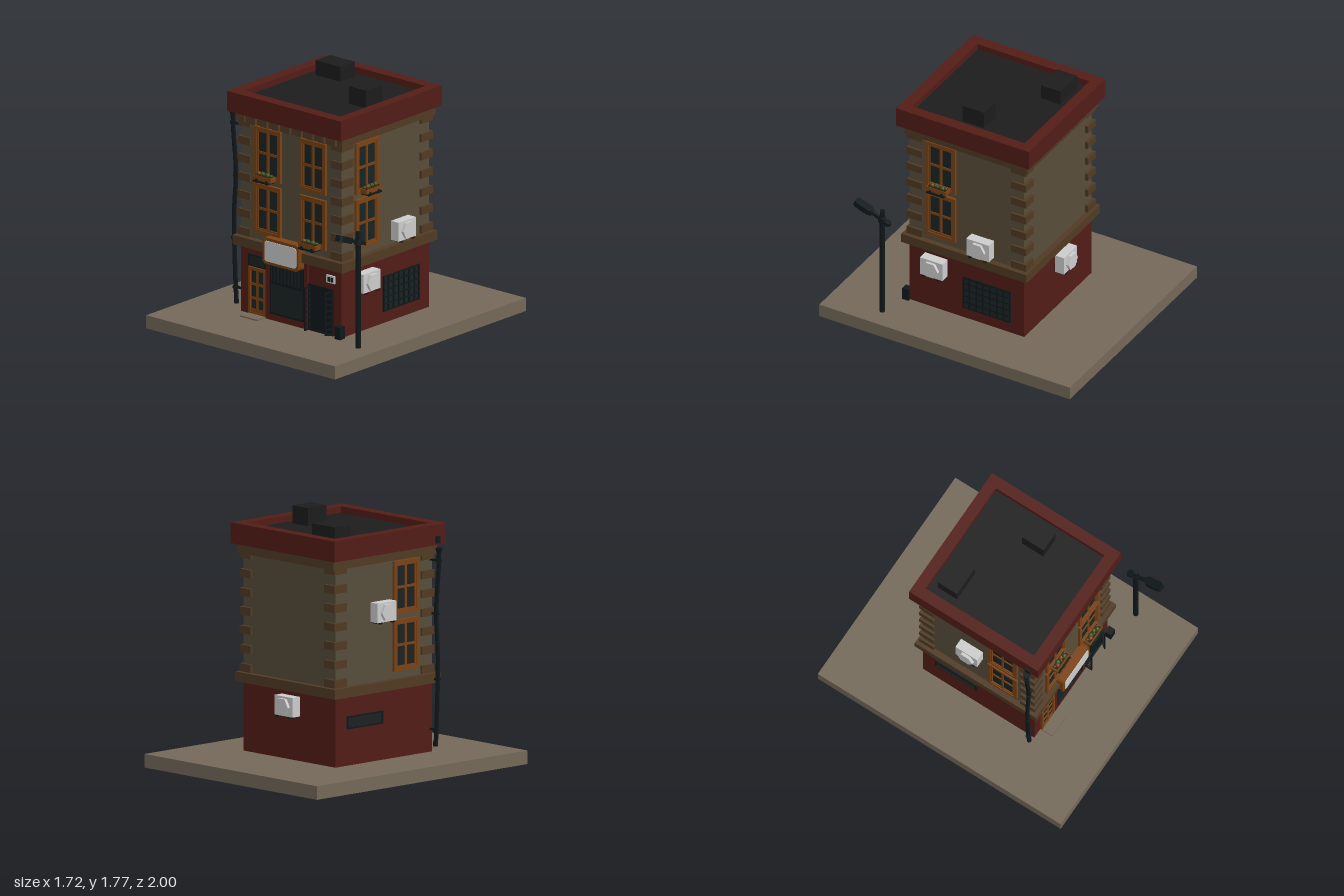
import * as THREE from 'three';

const mats = {};
function mat(color) {
  return mats[color] ??= new THREE.MeshStandardMaterial({ color, flatShading: true });
}
const C = { slab: 0x736858, brick: 0x521c16, wall: 0x564c39, trim: 0x4f3a24, wood: 0x7a4214,
  roof: 0x1c1c1c, black: 0x10181a, glass: 0x1a2222, metal: 0xcccccc, leaf: 0x3a4a18, soil: 0x2a1c10 };

function add(parent, name, geo, color, x = 0, y = 0, z = 0) {
  const m = new THREE.Mesh(geo, mat(color));
  m.name = name;
  m.position.set(x, y, z);
  parent.add(m);
  return m;
}
// Box given by its limits on each axis
function box(parent, name, color, x0, x1, y0, y1, z0, z1) {
  return add(parent, name, new THREE.BoxGeometry(x1 - x0, y1 - y0, z1 - z0), color,
    (x0 + x1) / 2, (y0 + y1) / 2, (z0 + z1) / 2);
}
function group(parent, name, x = 0, y = 0, z = 0, ry = 0) {
  const g = new THREE.Group();
  g.name = name;
  g.position.set(x, y, z);
  g.rotation.y = ry;
  parent.add(g);
  return g;
}
function roundedRect(w, h, r) {
  const s = new THREE.Shape(), a = w / 2 - r, b = h / 2 - r;
  s.absarc(a, b, r, 0, Math.PI / 2);
  s.absarc(-a, b, r, Math.PI / 2, Math.PI);
  s.absarc(-a, -b, r, Math.PI, Math.PI * 1.5);
  s.absarc(a, -b, r, Math.PI * 1.5, Math.PI * 2);
  s.closePath();
  return s;
}
// Rectangular frame with an open middle
function frame(parent, name, color, x0, x1, y0, y1, z0, z1, t) {
  box(parent, name, color, x0, x0 + t, y0, y1, z0, z1);
  box(parent, name, color, x1 - t, x1, y0, y1, z0, z1);
  box(parent, name, color, x0 + t, x1 - t, y0, y0 + t, z0, z1);
  box(parent, name, color, x0 + t, x1 - t, y1 - t, y1, z0, z1);
}
// Crossing bars over a pane
function bars(parent, name, color, x0, x1, y0, y1, z0, z1, cols, rows, t) {
  for (let i = 1; i < cols; i++) {
    const x = x0 + (x1 - x0) * i / cols;
    box(parent, name, color, x - t / 2, x + t / 2, y0, y1, z0, z1);
  }
  for (let i = 1; i < rows; i++) {
    const y = y0 + (y1 - y0) * i / rows;
    box(parent, name, color, x0, x1, y - t / 2, y + t / 2, z0, z1 - 0.001);
  }
}
// Wall fittings: local x runs along the wall, z points out of it
function sashWindow(wall, x, y0, y1) {
  const g = group(wall, 'window', x);
  const w = 0.12;
  box(g, 'windowGlass', C.glass, -w + 0.02, w - 0.02, y0 + 0.02, y1 - 0.02, -0.01, 0.004);
  frame(g, 'windowFrame', C.wood, -w, w, y0, y1, -0.01, 0.02, 0.024);
  frame(g, 'windowSash', C.wood, -w + 0.024, w - 0.024, y0 + 0.024, y1 - 0.024, -0.01, 0.013, 0.012);
  bars(g, 'glazingBar', C.wood, -w + 0.03, w - 0.03, y0 + 0.03, y1 - 0.03, 0, 0.012, 2, 2, 0.018);
}
function flowerBox(wall, x, y) {
  const g = group(wall, 'flowerBox', x, y);
  box(g, 'planter', C.wood, -0.08, 0.08, 0.005, 0.038, 0.022, 0.075);
  box(g, 'soil', C.soil, -0.07, 0.07, 0.036, 0.041, 0.028, 0.069);
  box(g, 'shelf', C.black, -0.07, 0.07, -0.006, 0.005, 0, 0.088);
  for (const s of [-0.045, 0.045]) box(g, 'planterBracket', C.black, s - 0.01, s + 0.01, -0.012, 0.014, 0, 0.08);
  for (let i = 0; i < 7; i++) {
    add(g, 'plant', new THREE.IcosahedronGeometry(0.012 + 0.004 * (i % 3), 0), i % 3 === 1 ? C.wood : C.leaf,
      -0.06 + i * 0.02, 0.045 + 0.006 * (i % 2), 0.04 + 0.014 * (i % 2));
  }
}
function airConditioner(wall, x, y) {
  const g = group(wall, 'airConditioner', x, y);
  box(g, 'unitBody', C.metal, -0.09, 0.09, 0.01, 0.147, 0.012, 0.084);
  const fan = add(g, 'fanCover', new THREE.CylinderGeometry(0.064, 0.064, 0.025, 6), C.metal, 0, 0.078, 0.093);
  fan.rotation.set(Math.PI / 2, Math.PI / 6, 0);
  for (const s of [-0.06, 0.06]) {
    box(g, 'unitBracket', C.black, s - 0.012, s + 0.012, 0, 0.01, -0.01, 0.09);
    box(g, 'unitBracketPost', C.black, s - 0.012, s + 0.012, 0, 0.06, -0.01, 0.011);
  }
}

function buildShell(root) {
  box(root, 'pavement', C.slab, -0.86, 0.86, 0, 0.095, -1, 1);
  box(root, 'groundFloor', C.brick, -0.43, 0.485, 0.095, 0.6, -0.415, 0.5);
  box(root, 'upperFloors', C.wall, -0.43, 0.485, 0.6, 1.64, -0.415, 0.5);
  box(root, 'lowerLedge', C.trim, -0.472, 0.527, 0.58, 0.648, -0.457, 0.542);
  box(root, 'upperLedge', C.trim, -0.455, 0.51, 1.48, 1.55, -0.455, 0.525);
  // Dentils under the front cornice
  for (let i = 0; i < 9; i++) {
    const x = 0.0225 + (i - 4) * 0.104;
    box(root, 'dentil', C.trim, x - 0.027, x + 0.027, 1.485, 1.548, 0.5, 0.545);
  }
  // Corner stones
  for (let i = 0; i < 7; i++) {
    const y = 0.68 + i * 0.132;
    for (const x of [-0.393, 0.448]) for (const z of [-0.378, 0.453]) {
      box(root, 'cornerStone', C.trim, x - 0.053, x + 0.053, y - 0.028, y + 0.028, z - 0.06, z + 0.06);
    }
  }
  // Parapet ring around the sunken roof
  const ring = new THREE.Shape([[-0.497, -0.573], [0.542, -0.573], [0.542, 0.487], [-0.497, 0.487]]
    .map(p => new THREE.Vector2(...p)));
  ring.holes.push(new THREE.Path([[-0.415, -0.488], [-0.415, 0.405], [0.463, 0.405], [0.463, -0.488]]
    .map(p => new THREE.Vector2(...p))));
  const geo = new THREE.ExtrudeGeometry(ring, { depth: 0.145, bevelEnabled: false });
  geo.rotateX(-Math.PI / 2);
  add(root, 'parapet', geo, C.brick, 0, 1.547, 0);
  box(root, 'roof', C.roof, -0.42, 0.468, 1.63, 1.648, -0.41, 0.492);
  box(root, 'roofVent', C.roof, -0.35, -0.125, 1.64, 1.755, -0.345, -0.19);
  box(root, 'roofVent', C.roof, 0.238, 0.39, 1.64, 1.775, -0.04, 0.135);
}

function buildShopFront(f) {
  // Entrance door with fanlight and step
  box(f, 'fanlight', C.glass, -0.355, -0.195, 0.445, 0.53, -0.01, 0.006);
  frame(f, 'fanlightFrame', C.black, -0.355, -0.195, 0.445, 0.53, -0.01, 0.012, 0.01);
  box(f, 'doorGlass', C.glass, -0.345, -0.205, 0.1, 0.43, -0.01, 0.005);
  frame(f, 'doorFrame', C.wood, -0.355, -0.195, 0.095, 0.44, -0.01, 0.016, 0.022);
  bars(f, 'doorBar', C.wood, -0.335, -0.215, 0.115, 0.42, 0, 0.012, 2, 3, 0.018);
  box(f, 'doorPanel', C.wood, -0.335, -0.215, 0.115, 0.14, 0, 0.011);
  box(f, 'doorStep', C.slab, -0.355, -0.195, 0.095, 0.105, 0, 0.1);
  // Display window with slatted upper part
  box(f, 'shopGlass', C.glass, -0.16, 0.155, 0.14, 0.52, -0.01, 0.005);
  frame(f, 'shopFrame', C.black, -0.16, 0.155, 0.14, 0.52, -0.01, 0.014, 0.014);
  box(f, 'shopTransom', C.black, -0.15, 0.145, 0.36, 0.38, 0, 0.016);
  for (let i = 0; i < 9; i++) {
    const x = -0.13 + i * 0.032;
    box(f, 'shopSlat', C.black, x - 0.008, x + 0.008, 0.375, 0.515, 0, 0.014);
  }
  for (const x of [-0.178, 0.172]) box(f, 'pilaster', C.brick, x - 0.016, x + 0.016, 0.095, 0.58, 0, 0.014);
  box(f, 'shopSill', C.brick, -0.162, 0.156, 0.095, 0.14, 0, 0.014);
  // Dark doorway with two open barred gates
  box(f, 'doorway', C.black, 0.19, 0.415, 0.095, 0.43, -0.01, 0.005);
  frame(f, 'doorwayFrame', C.black, 0.19, 0.415, 0.095, 0.43, 0, 0.012, 0.012);
  for (const [x, a] of [[0.2, -Math.PI / 2], [0.408, -Math.PI / 2 - 0.6]]) {
    const g = group(f, 'gate', x, 0, 0.005, a);
    frame(g, 'gateFrame', C.black, 0, 0.055, 0.1, 0.415, -0.005, 0.005, 0.01);
    bars(g, 'gateBar', C.black, 0.005, 0.05, 0.1, 0.41, -0.004, 0.004, 1, 7, 0.01);
  }
  // Signboard
  const rim = new THREE.ExtrudeGeometry(roundedRect(0.33, 0.19, 0.03), { depth: 0.065, bevelEnabled: false, curveSegments: 4 });
  add(f, 'signFrame', rim, C.wood, -0.01, 0.61, 0.005);
  const panel = new THREE.ExtrudeGeometry(roundedRect(0.288, 0.148, 0.02), { depth: 0.01, bevelEnabled: false, curveSegments: 4 });
  add(f, 'signPanel', panel, C.metal, -0.01, 0.61, 0.065);
  // Meter box and bin
  box(f, 'meterBox', C.metal, 0.355, 0.432, 0.475, 0.53, -0.01, 0.012);
  for (const x of [0.38, 0.408]) box(f, 'meterDial', C.black, x - 0.009, x + 0.009, 0.485, 0.518, 0, 0.015);
  box(f, 'bin', C.black, 0.458, 0.51, 0.095, 0.185, -0.005, 0.045);
}

function buildDrainpipe(root) {
  const g = group(root, 'drainpipe', 0, 0, 0.49);
  const pts = [[-0.513, 1.5], [-0.51, 1.4], [-0.488, 1.15], [-0.485, 1.05], [-0.502, 0.8], [-0.5, 0.6], [-0.487, 0.25], [-0.48, 0.15]];
  const path = new THREE.CatmullRomCurve3(pts.map(([x, y]) => new THREE.Vector3(x, y, 0)));
  add(g, 'pipe', new THREE.TubeGeometry(path, 20, 0.016, 6), C.black);
  add(g, 'pipeFoot', new THREE.CylinderGeometry(0.018, 0.018, 0.03, 6), C.black, -0.48, 0.155, 0);
  add(g, 'pipeHopper', new THREE.CylinderGeometry(0.027, 0.016, 0.04, 6), C.black, -0.513, 1.51, 0);
  box(g, 'roofSpout', C.black, -0.508, -0.49, 1.56, 1.61, -0.02, 0.02);
  for (const [x, y] of [[-0.512, 1.44], [-0.485, 1.065], [-0.5, 0.61], [-0.487, 0.255]]) {
    add(g, 'pipeCollar', new THREE.CylinderGeometry(0.022, 0.022, 0.018, 6), C.black, x, y, 0);
    box(g, 'pipeBracket', C.black, x, -0.425, y - 0.007, y + 0.007, -0.01, 0.005);
  }
}

function buildStreetLamp(root) {
  const g = group(root, 'streetLamp', 0.71, 0, 0.585);
  add(g, 'lampPole', new THREE.CylinderGeometry(0.018, 0.019, 0.84, 8), C.black, 0, 0.515, 0);
  const arm = group(g, 'lampArm', 0, 0.86, 0);
  arm.rotation.x = -0.36;
  box(arm, 'armBar', C.black, -0.011, 0.011, -0.011, 0.011, -0.07, 0.12);
  box(arm, 'armEnd', C.black, -0.024, 0.024, -0.012, 0.012, -0.06, -0.025);
  add(arm, 'armJoint', new THREE.CylinderGeometry(0.026, 0.026, 0.045, 8), C.black);
  const head = new THREE.ExtrudeGeometry(new THREE.Shape([[-0.014, 0.08], [0.014, 0.08], [0.031, 0.11], [0.031, 0.21],
    [0.02, 0.228], [-0.02, 0.228], [-0.031, 0.21], [-0.031, 0.11]].map(p => new THREE.Vector2(...p))),
    { depth: 0.04, bevelEnabled: false });
  head.rotateX(Math.PI / 2);
  add(arm, 'lampHead', head, C.black, 0, 0.02, 0);
}

export function createModel() {
  const root = new THREE.Group();
  root.name = 'cornerShop';
  buildShell(root);
  const front = group(root, 'frontWall', 0, 0, 0.5);
  const right = group(root, 'sideWall', 0.485, 0, 0, Math.PI / 2);
  const left = group(root, 'sideWall', -0.43, 0, 0, -Math.PI / 2);
  const back = group(root, 'backWall', 0, 0, -0.415, Math.PI);
  // Two storeys of windows
  for (const [y0, y1] of [[0.7, 1.06], [1.098, 1.47]]) {
    sashWindow(front, -0.178, y0, y1);
    sashWindow(front, 0.233, y0, y1);
    sashWindow(right, -0.245, y0, y1);
    sashWindow(left, 0.245, y0, y1);
  }
  flowerBox(front, -0.178, 1.1);
  flowerBox(front, 0.233, 0.7);
  flowerBox(right, -0.245, 1.1);
  buildShopFront(front);
  airConditioner(right, -0.278, 0.39);
  airConditioner(right, 0.093, 0.675);
  airConditioner(back, 0, 0.4);
  airConditioner(left, -0.005, 1.065);
  // Barred side openings
  box(right, 'sideGlass', C.glass, -0.07, 0.31, 0.18, 0.435, -0.01, 0.003);
  bars(right, 'sideGrille', C.black, -0.07, 0.31, 0.18, 0.435, 0, 0.012, 7, 5, 0.012);
  frame(right, 'sideGrilleFrame', C.black, -0.07, 0.31, 0.18, 0.435, 0, 0.012, 0.01);
  box(left, 'sideGlass', C.glass, -0.31, 0.03, 0.35, 0.44, -0.01, 0.003);
  frame(left, 'sideVentFrame', C.black, -0.31, 0.03, 0.35, 0.44, 0, 0.01, 0.01);
  buildDrainpipe(root);
  buildStreetLamp(root);
  return root;
}
